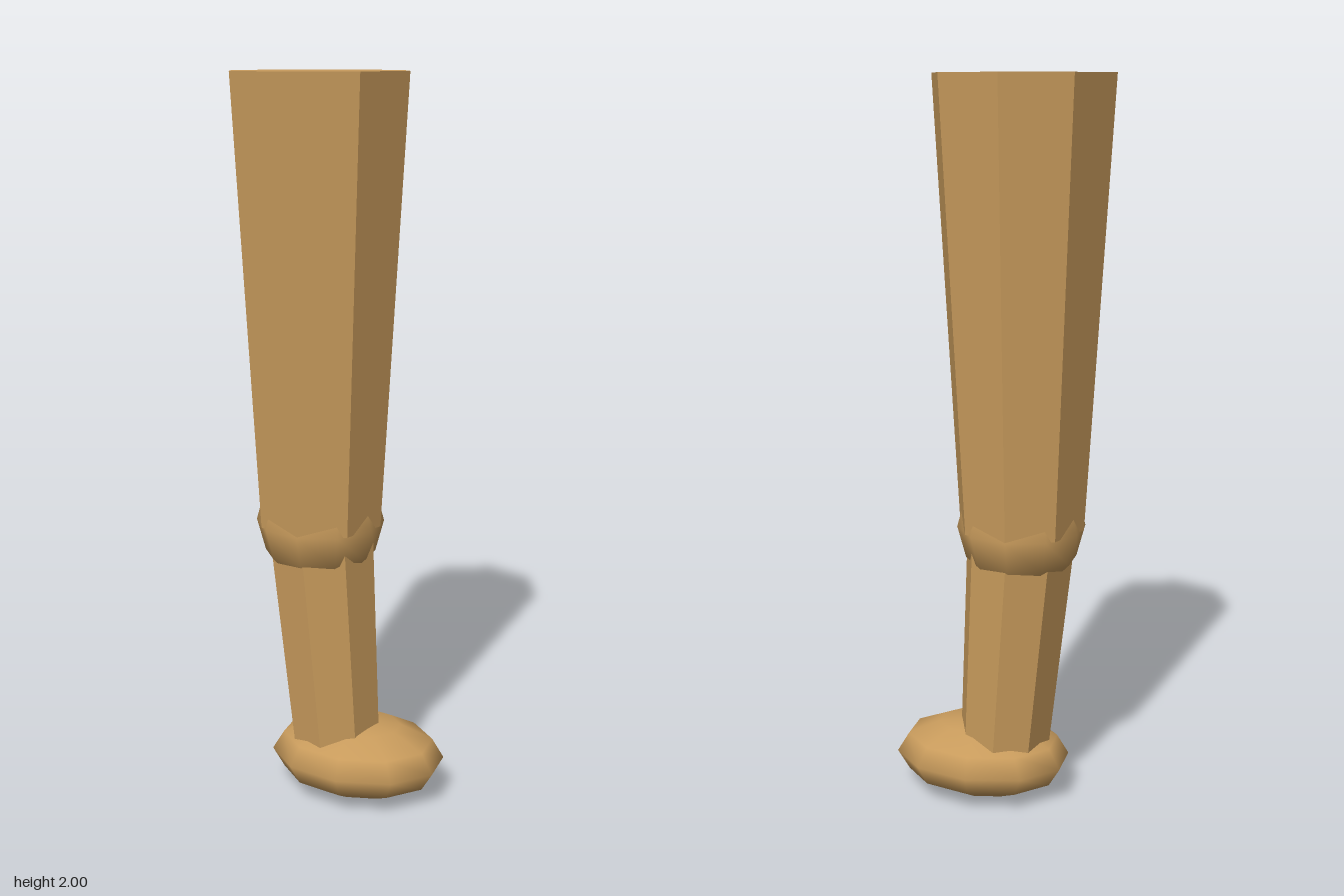
import * as THREE from 'three';

export function createModel() {
  const model = new THREE.Group();
  model.name = 'leg';

  const tan = new THREE.MeshStandardMaterial({ color: 0xc89b5c });
  tan.name = 'tan';

  // Eight-sided tapered limb between two points, with flat facets
  function limb(name, top, bottom, rTop, rBottom) {
    const axis = top.clone().sub(bottom);
    const geo = new THREE.CylinderGeometry(rTop, rBottom, axis.length(), 8).toNonIndexed();
    geo.computeVertexNormals();
    const mesh = new THREE.Mesh(geo, tan);
    mesh.name = name;
    mesh.position.copy(top).add(bottom).multiplyScalar(0.5);
    mesh.quaternion.setFromUnitVectors(new THREE.Vector3(0, 1, 0), axis.normalize());
    model.add(mesh);
  }

  // Smooth ball with ten sides and a vertex at +z and -z
  function ball(name, x, y, rx, ry, rz) {
    const geo = new THREE.SphereGeometry(1, 10, 6);
    geo.rotateY(Math.PI / 2);
    geo.scale(rx, ry, rz);
    const mesh = new THREE.Mesh(geo, tan);
    mesh.name = name;
    mesh.position.set(x, y, 0);
    model.add(mesh);
  }

  const hip = new THREE.Vector3(-0.054, 2, 0);
  const knee = new THREE.Vector3(-0.054, 0.8, 0);
  const ankle = new THREE.Vector3(-0.003, 0.11, 0);

  limb('thigh', hip, knee, 0.244, 0.175);
  ball('knee', knee.x, knee.y, 0.176, 0.176, 0.176);
  limb('shin', knee, ankle, 0.153, 0.127);
  ball('foot', 0.058, 0.11, 0.251, 0.11, 0.184);

  return model;
}
